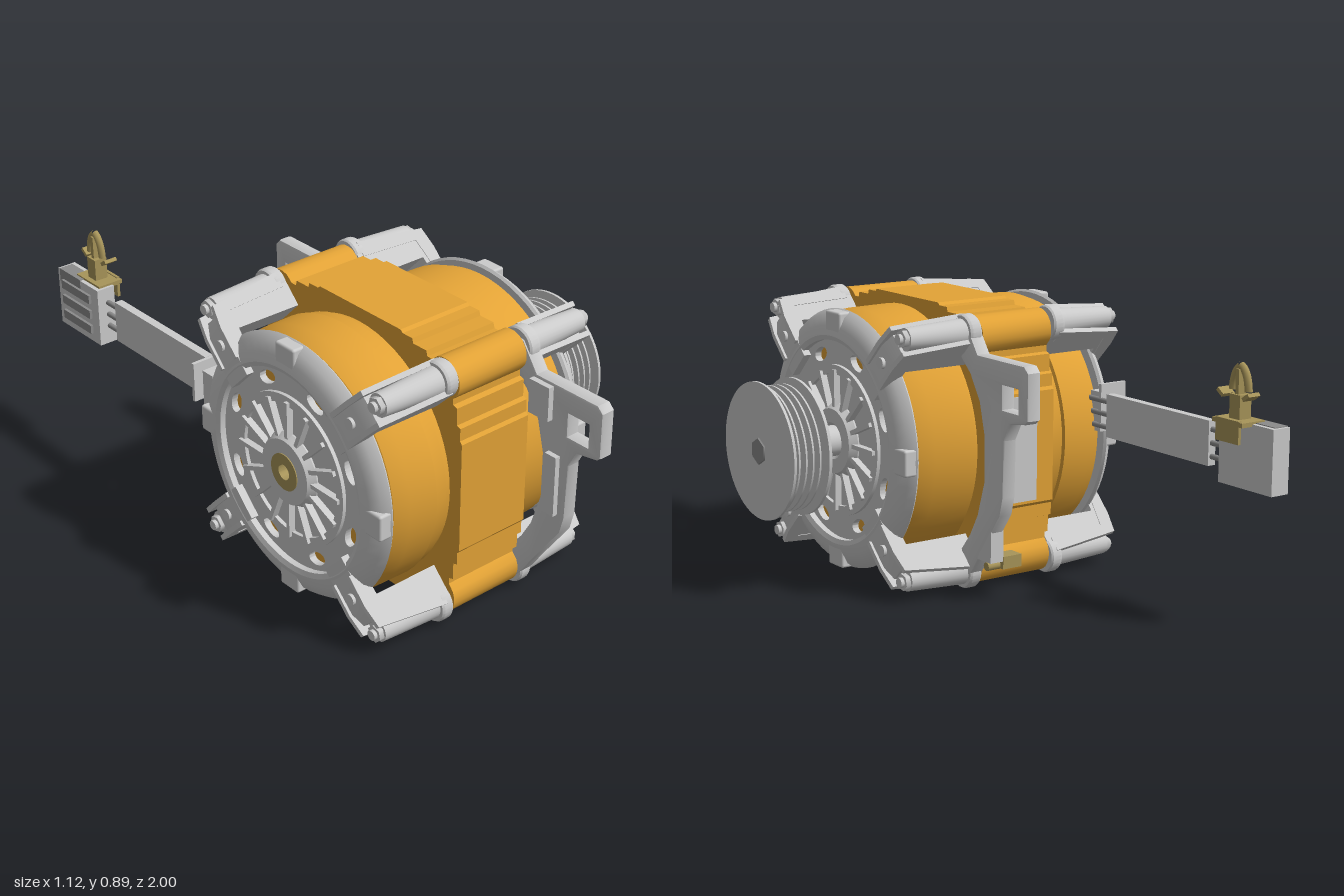
import * as THREE from 'three';
import { toCreasedNormals } from 'three/addons/utils/BufferGeometryUtils.js';
import { RoundedBoxGeometry } from 'three/addons/geometries/RoundedBoxGeometry.js';

const steel = new THREE.MeshStandardMaterial({ color: 0xcccccc });
const orange = new THREE.MeshStandardMaterial({ color: 0xe3a336 });
const brass = new THREE.MeshStandardMaterial({ color: 0xa8955a });
const grey = new THREE.MeshStandardMaterial({ color: 0x8c8c8c });

function add(parent, name, geo, mat = steel, x = 0, y = 0, z = 0) {
  const m = new THREE.Mesh(geo, mat);
  m.name = name;
  m.position.set(x, y, z);
  parent.add(m);
  return m;
}
const vecs = (pts) => pts.map(([a, b]) => new THREE.Vector2(a, b));
const box = (w, h, d) => new THREE.BoxGeometry(w, h, d);

// Turned part about the motor axis (local z); profile is [radius, z], counter-clockwise
function turned(profile, seg = 64) {
  return toCreasedNormals(new THREE.LatheGeometry(vecs(profile), seg).rotateX(Math.PI / 2), 0.5);
}
function rod(r1, r2, z1, z2, seg = 24) {
  return new THREE.CylinderGeometry(r2, r1, z2 - z1, seg).rotateX(Math.PI / 2).translate(0, 0, (z1 + z2) / 2);
}
function plate(shape, z, depth, bevel = 0) {
  const g = new THREE.ExtrudeGeometry(shape, {
    depth: depth - 2 * bevel, bevelEnabled: bevel > 0, bevelSize: bevel, bevelOffset: -bevel,
    bevelThickness: bevel, bevelSegments: 2, curveSegments: 20,
  });
  return toCreasedNormals(g.translate(0, 0, z + bevel), 0.6);
}

// Laminated core: one stepped octant with a rolled corner, mirrored all round
function coreShape() {
  const half = [[0.445, 0], [0.445, 0.18], [0.437, 0.19], [0.437, 0.23], [0.422, 0.235],
    [0.422, 0.29], [0.405, 0.295], [0.405, 0.315]];
  for (let i = 0; i <= 4; i++) {
    const t = -0.45 + (i / 4) * (Math.PI / 4 + 0.45);
    half.push([0.365 + 0.065 * Math.cos(t), 0.365 + 0.065 * Math.sin(t)]);
  }
  const quad = [...half, ...half.slice(0, -1).reverse().map(([a, b]) => [b, a])].slice(0, -1);
  const pts = [];
  for (let k = 0; k < 4; k++) {
    const c = [1, 0, -1, 0][k], s = [0, 1, 0, -1][k];
    for (const [a, b] of quad) pts.push([a * c - b * s, a * s + b * c]);
  }
  const shape = new THREE.Shape(vecs(pts));
  shape.holes.push(new THREE.Path().absarc(0, 0, 0.27, 0, Math.PI * 2, true));
  return shape;
}

// Perforated end plate with eight oval windows and a bearing hole
function endPlateShape() {
  const s = new THREE.Shape().absarc(0, 0, 0.35, 0, Math.PI * 2);
  for (let k = 0; k < 8; k++) {
    const t = Math.PI / 8 + k * Math.PI / 4;
    s.holes.push(new THREE.Path().absellipse(0.285 * Math.cos(t), 0.285 * Math.sin(t),
      0.022, 0.038, 0, Math.PI * 2, true, t));
  }
  s.holes.push(new THREE.Path().absarc(0, 0, 0.07, 0, Math.PI * 2, true));
  return s;
}

// End bracket: domed ring, spoked plate, hub and four corner arms (z 0 to 0.29)
function bracket(name) {
  const g = new THREE.Group();
  g.name = name;
  add(g, 'domedRing', turned([[0.325, 0.24], [0.415, 0.23], [0.422, 0.238], [0.405, 0.262], [0.37, 0.28],
    [0.34, 0.287], [0.325, 0.28], [0.325, 0.24]]));
  add(g, 'endPlate', plate(endPlateShape(), 0.238, 0.022));
  add(g, 'bearingHub', turned([[0.05, 0.21], [0.12, 0.21], [0.12, 0.265], [0.105, 0.29],
    [0.06, 0.29], [0.05, 0.28], [0.05, 0.21]], 48));
  add(g, 'innerRim', turned([[0.215, 0.24], [0.245, 0.24], [0.245, 0.272], [0.215, 0.272], [0.215, 0.24]]));

  for (let k = 0; k < 16; k++) {
    const rib = add(g, 'plateRib', box(0.12, 0.014, 0.035).translate(0.17, 0, 0.265));
    rib.rotation.z = k * Math.PI / 8;
  }
  const armProfile = new THREE.Shape(vecs([[0.3, 0.245], [0.44, 0.235], [0.44, 0.01], [0.53, 0.01],
    [0.53, 0.06], [0.505, 0.265], [0.46, 0.283], [0.3, 0.286]]));
  const railProfile = new THREE.Shape(vecs([[0.36, 0.26], [0.5, 0.24], [0.51, 0.03], [0.56, 0.03],
    [0.53, 0.282], [0.46, 0.293], [0.36, 0.293]]));
  const upright = (shape, w, off) => plate(shape, -w / 2, w).rotateX(Math.PI / 2).translate(0, off, 0);
  for (let k = 0; k < 4; k++) {
    const block = add(g, 'sideBlock', new RoundedBoxGeometry(0.09, 0.085, 0.05, 2, 0.008).translate(0.373, 0, 0.258));
    block.rotation.z = k * Math.PI / 2;

    const arm = new THREE.Group();
    arm.name = 'cornerArm';
    arm.rotation.z = Math.PI / 4 + k * Math.PI / 2;
    g.add(arm);
    add(arm, 'armWeb', upright(armProfile, 0.11, 0));
    for (const s of [-1, 1]) add(arm, 'armRail', upright(railProfile, 0.016, s * 0.049));
    add(arm, 'boltTube', rod(0.047, 0.036, 0.04, 0.255), steel, 0.535);
    add(arm, 'boltFlange', turned([[0, 0.008], [0.054, 0.008], [0.058, 0.014], [0.058, 0.042],
      [0.054, 0.05], [0, 0.05]], 28), steel, 0.538);
    add(arm, 'boltHead', rod(0.028, 0.028, 0.25, 0.272, 6), steel, 0.54);
    add(arm, 'boltTip', rod(0.016, 0.016, 0.272, 0.284, 16), steel, 0.54);
    add(arm, 'armScrew', rod(0.018, 0.018, 0.28, 0.294, 16), steel, 0.42);
  }
  return g;
}

// Mounting ear with a square bolt hole, on the +x side of the local frame
function earShape(side) {
  const pts = [[0.35, 0.42], [0.41, 0.41], [0.47, 0.325], [0.71, 0.325], [0.73, 0.305], [0.73, 0.16],
    [0.715, 0.148], [0.64, 0.135], [0.61, 0.08], [0.605, -0.1], [0.59, -0.16], [0.49, -0.3], [0.45, -0.36], [0.4, -0.42],
    [0.34, -0.36], [0.43, -0.25], [0.47, -0.18], [0.505, -0.07], [0.505, 0.08], [0.48, 0.18], [0.43, 0.26], [0.34, 0.34]];
  const hole = [[0.6, 0.175], [0.68, 0.175], [0.68, 0.25], [0.6, 0.25]];
  const flip = (p) => vecs(p.map(([a, b]) => [a * side, b]));
  const s = new THREE.Shape(flip(pts));
  s.holes.push(new THREE.Path(flip(hole)));
  return s;
}

// Wiring strip, plug and retaining clip, behind the motor
function wiring() {
  const g = new THREE.Group();
  g.name = 'wiring';
  const x = -0.455;
  add(g, 'terminalPlate', box(0.1, 0.13, 0.012), steel, -0.5, 0.56, -0.175);
  add(g, 'terminalBlock', box(0.06, 0.13, 0.05), steel, -0.49, 0.53, -0.14);
  for (let i = -1; i <= 1; i++) {
    add(g, 'wire', rod(0.009, 0.009, -0.8, -0.1, 10), grey, x, 0.53 + i * 0.042, 0);
    add(g, 'plugSlot', box(0.012, 0.03, 0.16), grey, -0.498, 0.525 + i * 0.055, -0.89);
  }
  add(g, 'cableSleeve', box(0.028, 0.14, 0.49), steel, x, 0.53, -0.465);
  add(g, 'plugHousing', box(0.065, 0.2, 0.23), steel, -0.462, 0.525, -0.885);
  add(g, 'plugLatch', box(0.05, 0.045, 0.12), grey, -0.47, 0.605, -0.93);
  add(g, 'clipFoot', box(0.09, 0.014, 0.13), brass, -0.435, 0.625, -0.845);
  add(g, 'clipSide', box(0.01, 0.07, 0.1), brass, -0.395, 0.6, -0.845);
  add(g, 'clipStem', box(0.045, 0.08, 0.045), brass, -0.44, 0.665, -0.845);
  add(g, 'clipPost', box(0.03, 0.1, 0.014), brass, -0.44, 0.73, -0.845);
  for (const s of [-1, 1]) {
    const wing = new THREE.QuadraticBezierCurve3(new THREE.Vector3(0, 0.79, 0),
      new THREE.Vector3(0, 0.775, s * 0.03), new THREE.Vector3(0, 0.715, s * 0.034));
    add(g, 'clipWing', new THREE.TubeGeometry(wing, 8, 0.012, 8), brass, -0.44, 0, -0.845);
    const barb = add(g, 'clipBarb', box(0.045, 0.012, 0.03), brass, -0.43, 0.705, -0.845 + s * 0.055);
    barb.rotation.x = -s * 0.6;
  }
  return g;
}

export function createModel() {
  const model = new THREE.Group();
  model.name = 'electricMotor';

  // Motor frame: local z is the shaft axis, pointing to the model's left
  const motor = new THREE.Group();
  motor.name = 'motor';
  motor.position.set(0, 0.45, 0.27);
  motor.rotation.y = Math.PI / 2;
  model.add(motor);

  add(motor, 'statorCore', plate(coreShape(), -0.262, 0.262), orange);
  add(motor, 'winding', turned([[0.25, -0.49], [0.385, -0.49], [0.4, -0.478], [0.418, -0.43], [0.42, -0.33],
    [0.41, -0.325], [0.41, -0.285], [0.4, -0.28], [0.4, 0.01], [0.42, 0.02], [0.418, 0.17], [0.4, 0.22],
    [0.385, 0.23], [0.25, 0.23], [0.25, -0.49]]), orange);
  add(motor, 'rotor', rod(0.22, 0.22, -0.46, 0.2, 48), steel);

  motor.add(bracket('driveBracket'));
  const rear = bracket('rearBracket');
  rear.rotation.y = Math.PI;
  rear.position.z = -0.262;
  motor.add(rear);
  add(motor, 'rearBearing', turned([[0.025, -0.555], [0.06, -0.555], [0.06, -0.5], [0.025, -0.5], [0.025, -0.555]], 32), brass);

  for (let k = 0; k < 4; k++) {
    const t = Math.PI / 4 + k * Math.PI / 2;
    add(motor, 'tieBolt', rod(0.02, 0.02, -0.5, 0.24, 12), steel, 0.54 * Math.cos(t), 0.54 * Math.sin(t));
  }

  // Ears on the front and back of the drive bracket
  for (const side of [-1, 1]) {
    add(motor, 'mountingEar', plate(earShape(side), 0.002, 0.05, 0.008));
    add(motor, 'earBoss', box(0.08, 0.11, 0.03), steel, side * 0.5, 0.26, -0.002);
    add(motor, 'earRib', box(0.045, 0.2, 0.026), steel, side * 0.555, 0.0, -0.002);
  }
  add(motor, 'earFoot', box(0.07, 0.14, 0.048), steel, 0.51, -0.25, 0.027);
  add(motor, 'groundTab', box(0.055, 0.04, 0.07), brass, 0.52, -0.325, -0.03);
  add(motor, 'groundPin', rod(0.014, 0.014, -0.03, 0.05, 12), brass, 0.52, -0.335, 0);

  // Shaft, ribbed pulley and hex end
  add(motor, 'shaft', rod(0.05, 0.05, 0.2, 0.41, 32));
  add(motor, 'shaftNeck', rod(0.04, 0.04, 0.4, 0.43, 32));
  const groove = [[0, 0.42], [0.22, 0.42], [0.22, 0.43], [0.165, 0.438]];
  for (let i = 0; i < 4; i++) {
    const z = 0.451 + i * 0.0247;
    groove.push([0.202, z - 0.003], [0.202, z + 0.003], [0.165, z + 0.012]);
  }
  groove.push([0.22, 0.546], [0.22, 0.555], [0, 0.555]);
  add(motor, 'pulley', turned(groove, 72));
  add(motor, 'pulleyNut', rod(0.045, 0.042, 0.55, 0.56, 6), grey);

  // Rating plate on the back of the core
  add(model, 'ratingPlate', box(0.11, 0.34, 0.006), steel, -0.14, 0.45, -0.177);

  model.add(wiring());
  return model;
}
